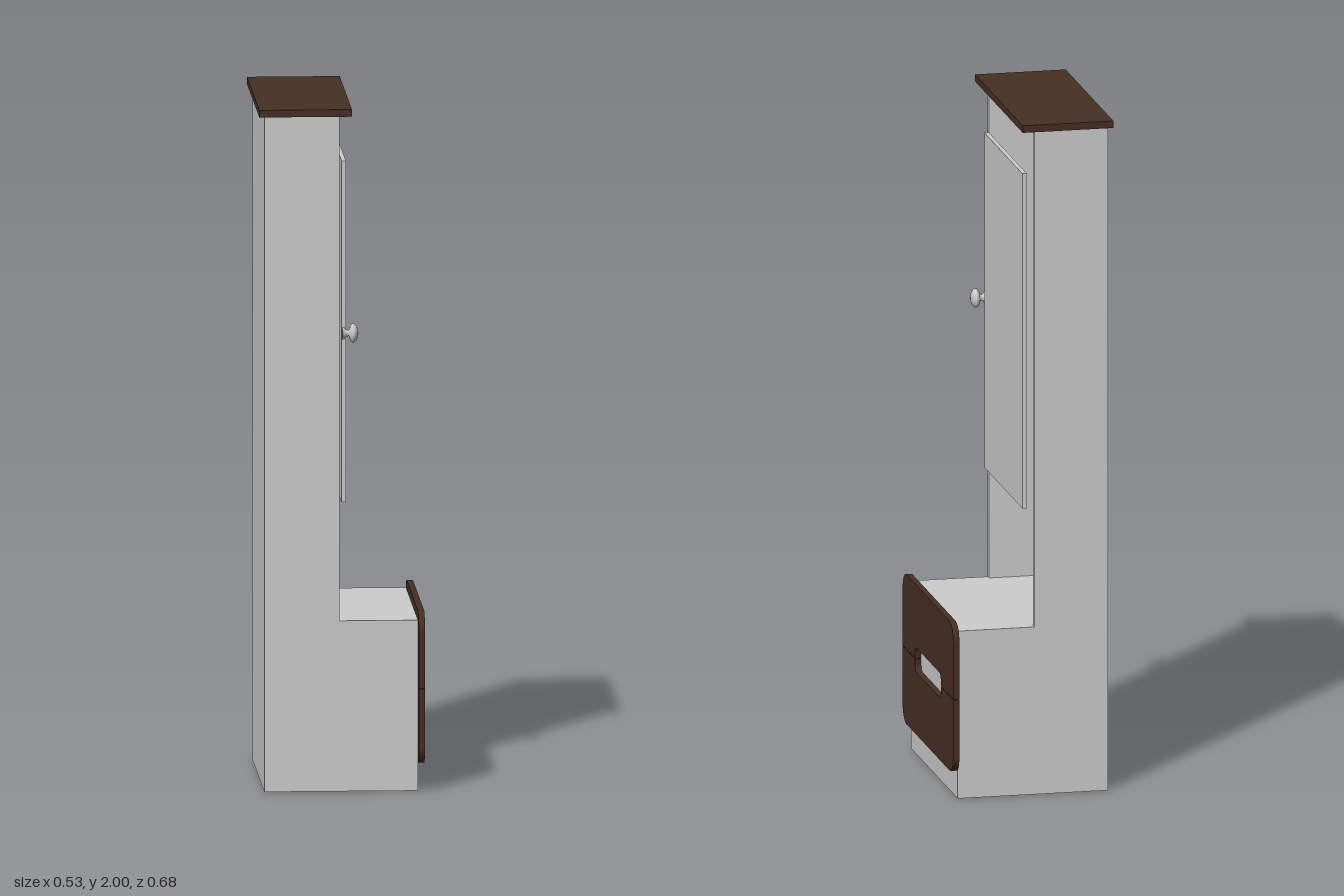
import * as THREE from 'three';

export function createModel() {
  const grey = new THREE.MeshStandardMaterial({ color: 0xcccccc });
  grey.name = 'pale grey';
  const brown = new THREE.MeshStandardMaterial({ color: 0x462f25 });
  brown.name = 'dark brown';

  const model = new THREE.Group();
  model.name = 'cabinet';
  // the cabinet faces +x locally and stands slightly turned
  const body = new THREE.Group();
  body.name = 'turnedCabinet';
  body.rotation.y = 0.0813;
  model.add(body);

  // box given by its limits on each axis
  const box = (name, mat, [x0, x1], [y0, y1], [z0, z1]) => {
    const m = new THREE.Mesh(new THREE.BoxGeometry(x1 - x0, y1 - y0, z1 - z0), mat);
    m.name = name;
    m.position.set((x0 + x1) / 2, (y0 + y1) / 2, (z0 + z1) / 2);
    body.add(m);
  };

  const back = -0.227, front = -0.009, zMin = -0.301, zMax = 0.314, t = 0.0175;
  const mid = 0.0065, seat = 0.5, roof = 1.979;

  // bench and open tower
  box('benchBase', grey, [back, 0.219], [0, seat], [zMin, zMax]);
  box('towerSideRight', grey, [back, front], [seat, roof], [zMax - t, zMax]);
  box('towerSideLeft', grey, [back, front], [seat, roof], [zMin, zMin + t]);
  box('towerBack', grey, [back, back + t], [seat, roof], [zMin + t, zMax - t]);
  box('towerCeiling', grey, [back + t, front], [roof - 0.005, roof], [zMin + t, zMax - t]);
  box('topBoard', brown, [-0.242, 0.027], [roof, 2], [-0.307, 0.321]);

  // door panel in front of the opening
  box('doorPanel', grey, [0, 0.013], [0.84, 1.84], [-0.24, 0.261]);

  // round knob on a short stem
  const profile = [[0, 0], [0.018, 0], [0.018, 0.006], [0.01, 0.011], [0.009, 0.02],
    [0.02, 0.023], [0.028, 0.029], [0.028, 0.035], [0.021, 0.042], [0.01, 0.046], [0, 0.047]];
  const knob = new THREE.Mesh(
    new THREE.LatheGeometry(profile.map(([r, y]) => new THREE.Vector2(r, y)), 32), grey);
  knob.name = 'knob';
  knob.rotation.z = -Math.PI / 2;
  knob.position.set(0, 1.34, 0.291);
  body.add(knob);

  // drawer front: two halves, each with half of the handle slot
  const w = 0.3335, h = 0.223, r = 0.05, sw = 0.169, sh = 0.037, sr = 0.02;
  const half = new THREE.Shape();
  half.moveTo(sw, 0.001);
  half.lineTo(w, 0.001);
  half.lineTo(w, h - r);
  half.absarc(w - r, h - r, r, 0, Math.PI / 2, false);
  half.lineTo(-w + r, h);
  half.absarc(-w + r, h - r, r, Math.PI / 2, Math.PI, false);
  half.lineTo(-w, 0.001);
  half.lineTo(-sw, 0.001);
  half.lineTo(-sw, sh - sr);
  half.absarc(-sw + sr, sh - sr, sr, Math.PI, Math.PI / 2, true);
  half.lineTo(sw - sr, sh);
  half.absarc(sw - sr, sh - sr, sr, Math.PI / 2, 0, true);
  half.closePath();
  const halfGeo = new THREE.ExtrudeGeometry(half, { depth: 0.018, bevelEnabled: false, curveSegments: 10 });
  halfGeo.rotateY(Math.PI / 2);
  for (const [name, turn] of [['drawerFrontUpper', 0], ['drawerFrontLower', Math.PI]]) {
    const m = new THREE.Mesh(halfGeo, brown);
    m.name = name;
    m.rotation.x = turn;
    m.position.set(0.2198, 0.302, mid);
    body.add(m);
  }
  return model;
}
